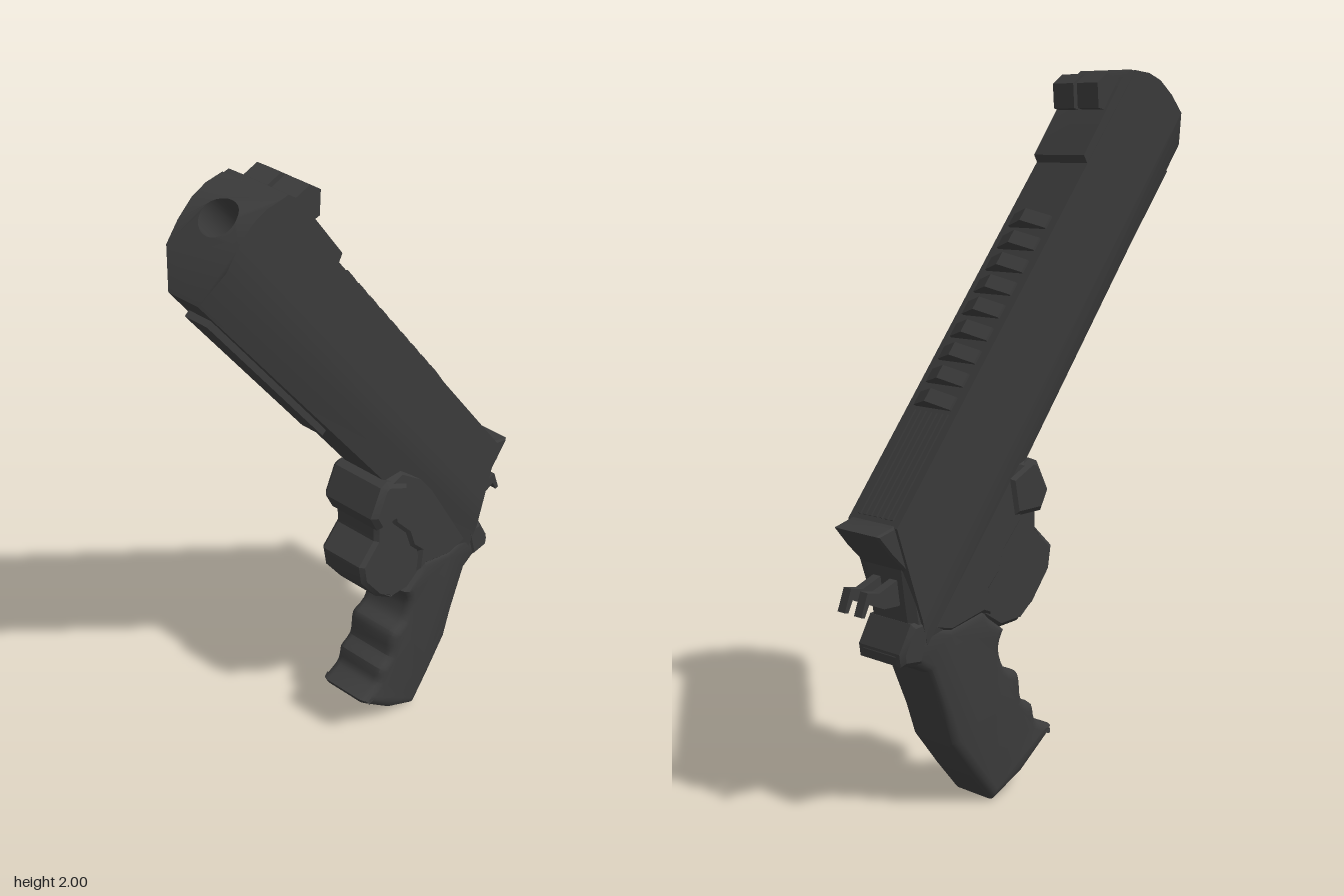
import * as THREE from 'three';
import { toCreasedNormals } from 'three/addons/utils/BufferGeometryUtils.js';

const gunmetal = new THREE.MeshStandardMaterial({ color: 0x3a3a3a });
gunmetal.name = 'gunmetal';

const vecs = (pts) => pts.map(([x, y]) => new THREE.Vector2(x, y));

function add(parent, name, geometry) {
  const mesh = new THREE.Mesh(geometry, gunmetal);
  mesh.name = name;
  parent.add(mesh);
  return mesh;
}

// Side profile extruded to a width, centred on z, bevelled inside its outline
function slab(parent, name, pts, width, bevel = 0, hole = null, segments = 1) {
  const shape = new THREE.Shape(vecs(pts));
  if (hole) shape.holes.push(new THREE.Path(vecs(hole)));
  const depth = width - 2 * bevel;
  const geo = new THREE.ExtrudeGeometry(shape, {
    depth, bevelEnabled: bevel > 0, bevelSize: bevel, bevelThickness: bevel,
    bevelOffset: -bevel, bevelSegments: segments,
  });
  geo.translate(0, 0, -depth / 2);
  return add(parent, name, toCreasedNormals(geo, 0.55));
}

// Box spanning s and v ranges along the barrel
function bar(parent, name, s0, s1, v0, v1, width, z = 0) {
  const geo = new THREE.BoxGeometry(s1 - s0, v1 - v0, width);
  geo.translate((s0 + s1) / 2, (v0 + v1) / 2, z);
  return add(parent, name, geo);
}

// How far the rounded muzzle bulges forward at height v
const bulge = [[0, 0], [0.092, 0.043], [0.155, 0.058], [0.218, 0.061], [0.267, 0.048], [0.315, 0.02]];
function muzzleBulge(v) {
  for (let i = 1; i < bulge.length; i++) {
    const [v0, b0] = bulge[i - 1], [v1, b1] = bulge[i];
    if (v <= v1) return b0 + (b1 - b0) * Math.max(0, (v - v0) / (v1 - v0));
  }
  return bulge[bulge.length - 1][1];
}

// Long body: flat sides, chamfered underside, bored muzzle, sloping rear
function barrelGeometry() {
  const side = bulge.map(([v]) => [v === 0 ? 0.05 : 0.1, v]);
  const shape = new THREE.Shape(vecs([...side, ...side.map(([z, v]) => [-z, v]).reverse()]));
  const bore = new THREE.Path();
  bore.absarc(0, 0.2, 0.053, 0, Math.PI * 2, true);
  shape.holes.push(bore);
  const geo = new THREE.ExtrudeGeometry(shape, { depth: 1, bevelEnabled: false, curveSegments: 12 });
  geo.rotateY(Math.PI / 2);
  const p = geo.attributes.position;
  for (let i = 0; i < p.count; i++) {
    const v = p.getY(i);
    if (p.getX(i) < 0.5) p.setX(i, -muzzleBulge(v));
    else {
      p.setX(i, 1.46 + (0.3 - v) * 0.7);
      if (v < 0.01) p.setZ(i, p.getZ(i) * 1.7);
    }
  }
  return toCreasedNormals(geo, 0.5);
}

export function createModel() {
  const model = new THREE.Group();
  model.name = 'pistol';

  // Barrel frame: local x runs back along the barrel, local y is up from its underside
  const barrel = new THREE.Group();
  barrel.name = 'barrelAssembly';
  barrel.position.set(-0.6, 1.79, 0);
  barrel.rotation.z = -Math.atan2(0.8, 0.6);
  model.add(barrel);

  add(barrel, 'barrel', barrelGeometry());
  const plug = new THREE.CylinderGeometry(0.056, 0.056, 0.02, 24);
  plug.rotateZ(Math.PI / 2).translate(0.16, 0.2, 0);
  add(barrel, 'borePlug', plug);

  // Underside rail
  bar(barrel, 'underRail', 0.083, 0.736, -0.018, 0.05, 0.075);

  // Front sight: full-width base with two raised halves
  slab(barrel, 'sightBase',
    [[-0.02, 0.31], [-0.01, 0.331], [0.035, 0.345], [0.288, 0.338], [0.3, 0.31]], 0.196);
  for (const side of [-1, 1]) {
    const half = slab(barrel, 'frontSight',
      [[0.03, 0.335], [0.039, 0.36], [0.05, 0.392], [0.093, 0.406], [0.145, 0.361], [0.13, 0.33]], 0.08);
    half.position.z = side * 0.047;
  }

  // Roof-shaped ribs along the top
  const roof = new THREE.Shape(vecs([[-0.072, 0.29], [0.072, 0.29], [0.072, 0.322], [0, 0.354], [-0.072, 0.322]]));
  const ribGeo = new THREE.ExtrudeGeometry(roof, { depth: 0.04, bevelEnabled: false });
  ribGeo.rotateY(Math.PI / 2);
  for (let i = 0; i < 9; i++) {
    add(barrel, 'topRib', ribGeo).position.x = 0.478 + i * 0.0725;
  }

  // Fine ridges on the rear top cover
  for (let i = -3; i <= 3; i++) {
    bar(barrel, 'coverRidge', 1.11, 1.43, 0.31, 0.319, 0.012, i * 0.022);
  }

  // Lower frame
  slab(model, 'frame', [
    [0.03, 0.94], [0.06, 0.77], [0.12, 0.7], [0.14, 0.64], [0.177, 0.6], [0.17, 0.52], [0.21, 0.53],
    [0.325, 0.5], [0.46, 0.53], [0.475, 0.625], [0.485, 0.7], [0.4, 0.73], [0.1, 0.96],
  ], 0.18, 0.02);

  // Trigger guard, its wide root and the trigger
  slab(model, 'triggerGuard', [
    [0.03, 0.93], [0.01, 0.92], [-0.02, 0.85], [0, 0.8], [0, 0.745], [-0.062, 0.685], [-0.052, 0.62],
    [0.01, 0.535], [0.07, 0.492], [0.14, 0.485], [0.21, 0.53], [0.19, 0.62], [0.14, 0.74], [0.12, 0.85],
  ], 0.16, 0.012, [
    [-0.02, 0.69], [0.025, 0.74], [0.08, 0.74], [0.12, 0.7], [0.135, 0.64], [0.17, 0.6],
    [0.17, 0.555], [0.14, 0.52], [0.07, 0.515], [0.03, 0.55], [-0.03, 0.64],
  ]);
  slab(model, 'guardRoot',
    [[0.035, 0.945], [0.01, 0.935], [-0.032, 0.85], [-0.005, 0.795], [0.1, 0.79], [0.12, 0.9]], 0.2, 0.015);
  slab(model, 'trigger', [
    [-0.01, 0.63], [0.035, 0.605], [0.09, 0.605], [0.115, 0.65], [0.15, 0.65],
    [0.165, 0.6], [0.125, 0.56], [0.06, 0.57], [0.02, 0.59],
  ], 0.05, 0.006);

  // Grip with finger grooves
  const fingers = new THREE.SplineCurve(vecs([
    [0.125, 0.48], [0.145, 0.43], [0.125, 0.372], [0.08, 0.352], [0.067, 0.32],
    [0.06, 0.27], [0.02, 0.245], [0.008, 0.2], [-0.02, 0.182], [-0.058, 0.168],
  ])).getPoints(27).map((p) => [p.x, p.y]);
  slab(model, 'grip', [
    ...fingers, [-0.05, 0.15], [0.06, 0.058], [0.17, 0], [0.24, 0.085], [0.32, 0.19], [0.35, 0.28],
    [0.405, 0.41], [0.44, 0.43], [0.5, 0.445], [0.505, 0.47], [0.465, 0.55], [0.325, 0.525], [0.21, 0.55], [0.18, 0.52],
  ], 0.18, 0.026, null, 3);
  slab(model, 'tang', [[0.4, 0.56], [0.465, 0.555], [0.505, 0.48], [0.5, 0.445], [0.43, 0.44]], 0.19, 0.012);

  // Rear sight and twin hammer spurs
  slab(model, 'rearSight',
    [[0.47, 0.865], [0.515, 0.825], [0.58, 0.805], [0.535, 0.75], [0.485, 0.7], [0.43, 0.78]], 0.18, 0.006);
  for (const side of [-1, 1]) {
    const spur = slab(model, 'hammerSpur', [
      [0.42, 0.66], [0.48, 0.67], [0.54, 0.645], [0.58, 0.652], [0.602, 0.59],
      [0.59, 0.588], [0.575, 0.62], [0.525, 0.6], [0.48, 0.6], [0.42, 0.61],
    ], 0.03);
    spur.position.z = side * 0.034;
  }

  // Whole piece is turned slightly about the vertical
  model.rotation.y = 0.094;
  const root = new THREE.Group();
  root.name = 'pistolModel';
  root.add(model);
  return root;
}
